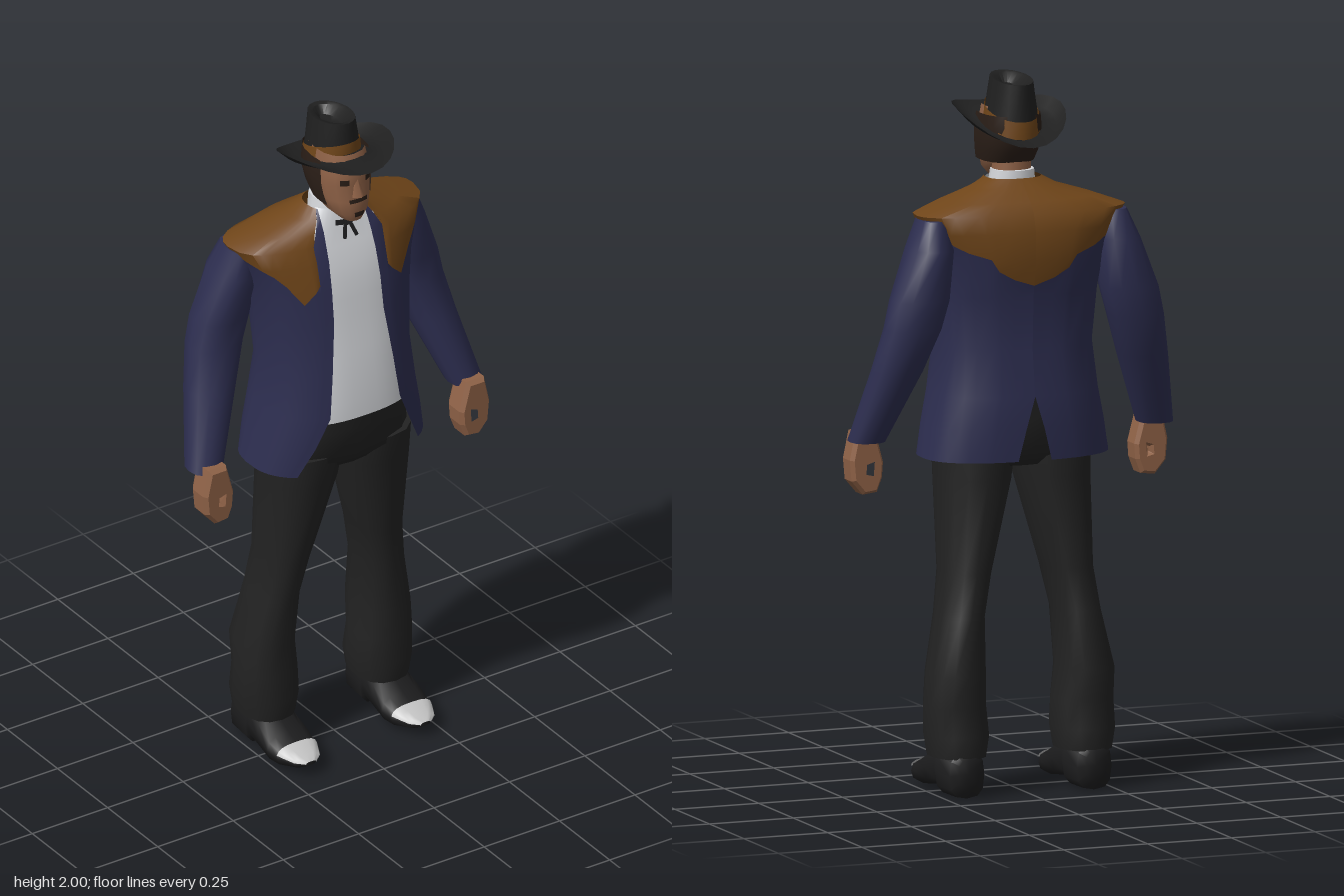
import * as THREE from 'three';
import { mergeVertices, toCreasedNormals } from 'three/addons/utils/BufferGeometryUtils.js';

const mat = (name, color, side = THREE.FrontSide) => {
  const m = new THREE.MeshStandardMaterial({ color, side });
  m.name = name;
  return m;
};
const lerp = (a, b, t) => a + (b - a) * t;
const spow = (v, p) => Math.sign(v) * Math.abs(v) ** p;

// Linear look-up in a table whose first column is the key
function sample(table, k) {
  const n = table.length - 1;
  if (k <= table[0][0]) return table[0];
  for (let i = 0; i < n; i++) {
    const p = table[i], q = table[i + 1];
    if (k <= q[0]) return p.map((v, j) => lerp(v, q[j], (k - p[0]) / (q[0] - p[0])));
  }
  return table[n];
}

// Grid surface: f(i, j) gives the point of column i, row j
function patch(nu, nv, f, crease = 0.9) {
  const pos = [], idx = [];
  for (let j = 0; j <= nv; j++) for (let i = 0; i <= nu; i++) pos.push(...f(i, j));
  for (let j = 0; j < nv; j++) for (let i = 0; i < nu; i++) {
    const a = j * (nu + 1) + i, b = a + 1, c = a + nu + 1, d = c + 1;
    idx.push(a, b, d, a, d, c);
  }
  const g = new THREE.BufferGeometry();
  g.setAttribute('position', new THREE.Float32BufferAttribute(pos, 3));
  g.setIndex(idx);
  return toCreasedNormals(mergeVertices(g, 1e-5), crease);
}

// Closed tube through rings of [y, cx, cz, rx, rz], listed upward, with flat ends
function loft(rings, s = 1, n = 12, p = 0.85) {
  const first = rings[0], last = rings[rings.length - 1];
  const all = [[...first.slice(0, 3), 0, 0], ...rings, [...last.slice(0, 3), 0, 0]];
  return patch(n, all.length - 1, (i, j) => {
    const [y, cx, cz, rx, rz] = all[j], a = ((i % n) / n) * Math.PI * 2;
    return [s * cx + rx * spow(Math.sin(a), p), y, cz + rz * spow(Math.cos(a), p)];
  });
}

// Torso sections: y, half width, front z, back z, centre z, half opening, half vent angle
const P = 0.8;
const TORSO = [
  [0.94, 0.27, 0.16, -0.185, -0.02, 0.2, 0.12],
  [1.03, 0.255, 0.168, -0.188, -0.02, 0.155, 0.06],
  [1.12, 0.237, 0.17, -0.185, -0.02, 0.115, 0],
  [1.25, 0.222, 0.155, -0.165, -0.02, 0.1, 0],
  [1.4, 0.235, 0.13, -0.172, -0.03, 0.082, 0],
  [1.5, 0.25, 0.115, -0.19, -0.04, 0.08, 0],
  [1.58, 0.28, 0.095, -0.19, -0.055, 0.077, 0],
  [1.63, 0.308, 0.075, -0.175, -0.07, 0.075, 0],
  [1.66, 0.225, 0.063, -0.15, -0.05, 0.073, 0],
  [1.69, 0.125, 0.052, -0.11, -0.03, 0.072, 0],
  [1.715, 0.078, 0.048, -0.08, -0.02, 0.068, 0],
];
function torsoAt(a, y, inset = 0) {
  const [, w, zf, zb, zc] = sample(TORSO, y);
  const c = spow(Math.cos(a), P);
  return [(w - inset) * spow(Math.sin(a), P), y, zc + c * ((c > 0 ? zf - zc : zc - zb) - inset)];
}
const openingAngle = (y) => {
  const r = sample(TORSO, y);
  return Math.asin(Math.min(1, (r[5] / r[1]) ** (1 / P)));
};

// Lower edge of the shoulder yoke, from front opening (0) to middle of the back (1)
const YOKE = [
  [0, 1.715], [0.04, 1.715], [0.045, 1.52], [0.07, 1.5], [0.13, 1.47], [0.2, 1.53], [0.25, 1.56], [0.3, 1.575],
  [0.38, 1.6], [0.47, 1.615], [0.53, 1.61], [0.6, 1.595], [0.68, 1.55], [0.75, 1.53], [0.85, 1.51],
  [0.88, 1.475], [0.94, 1.45], [1, 1.43],
];
function jacketSide(s, clampRow) {
  const n = YOKE.length - 1;
  return patch(n, TORSO.length - 1, (i, j) => {
    const [t, edge] = YOKE[s > 0 ? i : n - i];
    const y = clampRow(TORSO[j][0], edge);
    const a = lerp(openingAngle(y), Math.PI - sample(TORSO, y)[6], t);
    return torsoAt(s * a, y);
  }, 1.1);
}

// Head sections: y, half width, front z, back z
const HEAD = [
  [1.705, 0.03, 0.118, 0.03], [1.73, 0.055, 0.126, -0.02], [1.77, 0.069, 0.124, -0.06],
  [1.82, 0.075, 0.118, -0.08], [1.85, 0.076, 0.12, -0.085], [1.91, 0.07, 0.1, -0.08],
];
function headAt(a, y, off = 0) {
  const [, w, zf, zb] = sample(HEAD, y);
  return [(w + off) * spow(Math.sin(a), 0.85), y, (zf + zb) / 2 + ((zf - zb) / 2 + off) * spow(Math.cos(a), 0.85)];
}
const headPlate = (a0, a1, y0, y1, off, nu = 6, nv = 2) =>
  patch(nu, nv, (i, j) => headAt(lerp(a0, a1, i / nu), lerp(y0, y1, j / nv), off));

// Hat: crown rings tilt down to the back, brim curls up at the sides
function hatRing(a, rx, rz, y0, tilt) {
  const z = -0.012 + rz * Math.cos(a);
  return [rx * Math.sin(a), y0 + tilt * z, z];
}
const hatLoft = (rows, n = 20) => patch(n, rows.length - 1, (i, j) => hatRing(((i % n) / n) * Math.PI * 2, ...rows[j]), 0.7);
function brim(n = 24) {
  return patch(n, 3, (i, j) => {
    const a = ((i % n) / n) * Math.PI * 2, t = 1 - j / 3;
    const inner = hatRing(a, 0.074, 0.09, 1.866, 0.4);
    const c = Math.cos(a), s = Math.sin(a);
    const outer = [0.155 * s, 1.854 + 0.039 * c + 0.052 * s * s, 0.008 + 0.182 * c];
    return inner.map((v, k) => lerp(v, outer[k], t) - (k === 1 ? 0.018 * Math.sin(t * Math.PI) * s * s : 0));
  });
}

// Shoe sections: z, half width, bottom y, top y
const SHOE = [
  [-0.165, 0.03, 0.03, 0.11], [-0.15, 0.052, 0, 0.13], [-0.065, 0.06, 0, 0.135], [-0.055, 0.06, 0.022, 0.135],
  [0, 0.066, 0.016, 0.12], [0.06, 0.071, 0.008, 0.088], [0.1, 0.064, 0.01, 0.073], [0.15, 0.04, 0.024, 0.056], [0.17, 0.014, 0.035, 0.046],
];
function shoeAt(cx, a, row, off = 0) {
  const [z, hw, lo, hi] = row;
  return [cx + (hw + off) * spow(Math.cos(a), 0.7), (lo + hi) / 2 + ((hi - lo) / 2 + off) * spow(Math.sin(a), 0.7), z + off];
}

export function createModel() {
  const root = new THREE.Group();
  const navy = mat('navy cloth', 0x2d2e50, THREE.DoubleSide);
  const brown = mat('brown suede', 0x6f4519, THREE.DoubleSide);
  const white = mat('white shirt', 0xd6d8dc, THREE.DoubleSide);
  const black = mat('black trousers', 0x222222);
  const felt = mat('black felt', 0x1f1f1f, THREE.DoubleSide);
  const leather = mat('black leather', 0x1c1c1d);
  const skin = mat('skin', 0x8f6247);
  const hair = mat('dark hair', 0x2a1e17, THREE.DoubleSide);
  const silver = mat('silver toe', 0xc4c4c4, THREE.DoubleSide);
  const add = (name, geo, material, parent = root) => {
    const m = new THREE.Mesh(geo, material);
    m.name = name;
    parent.add(m);
    return m;
  };

  // Shirt front, shirt collar and string tie
  add('shirt', patch(10, 12, (i, j) => {
    const y = lerp(1.1, 1.715, j / 12), a = Math.min(1.5, openingAngle(y) + 0.15);
    return torsoAt(lerp(-a, a, i / 10), y, 0.006);
  }), white);
  add('shirtCollar', loft([[1.68, 0, -0.012, 0.066, 0.062], [1.735, 0, -0.016, 0.06, 0.056]]), white);
  const tie = new THREE.Group();
  tie.name = 'stringTie';
  tie.position.set(0, 1.675, 0.066);
  tie.rotation.x = -0.4;
  root.add(tie);
  add('tieKnot', new THREE.BoxGeometry(0.016, 0.018, 0.009), leather, tie);
  for (const s of [-1, 1]) {
    const loop = add('tieLoop', new THREE.BoxGeometry(0.03, 0.014, 0.006), leather, tie);
    loop.position.set(s * 0.02, 0.003, 0);
    loop.rotation.z = s * 0.2;
    const tail = add('tieTail', new THREE.BoxGeometry(0.009, 0.042, 0.006), leather, tie);
    tail.position.set(s * 0.014, -0.024, 0.002);
    tail.rotation.z = s * 0.3;
  }

  // Trouser seat
  add('trouserSeat', loft([
    [0.915, 0, -0.005, 0.13, 0.1], [0.95, 0, -0.005, 0.222, 0.128], [1.05, 0, 0, 0.21, 0.14], [1.14, 0, 0.002, 0.18, 0.145],
  ], 1, 16), black);

  for (const s of [-1, 1]) {
    // Jacket half with its yoke
    add('jacketBody', jacketSide(s, Math.min), navy);
    add('jacketYoke', jacketSide(s, Math.max), brown);

    // Sleeve
    add('sleeve', loft([
      [0.995, 0.43, -0.002, 0.05, 0.054], [1.2, 0.366, -0.07, 0.07, 0.068], [1.32, 0.332, -0.1, 0.08, 0.07],
      [1.4, 0.312, -0.102, 0.083, 0.073], [1.54, 0.278, -0.092, 0.062, 0.082], [1.62, 0.27, -0.08, 0.036, 0.06],
    ], s), navy);

    // Loosely closed hand with a gap inside the thumb
    const v2 = ([x, y]) => new THREE.Vector2(s * x, y);
    const outline = new THREE.Shape([
      [0.405, 1.01], [0.45, 1.01], [0.465, 0.94], [0.46, 0.885], [0.432, 0.852],
      [0.4, 0.856], [0.387, 0.89], [0.384, 0.93],
    ].map(v2));
    outline.holes.push(new THREE.Path([[0.405, 0.935], [0.428, 0.928], [0.43, 0.9], [0.408, 0.895]].map(v2)));
    const hand = add('hand', new THREE.ExtrudeGeometry(outline, {
      depth: 0.05, bevelEnabled: true, bevelThickness: 0.014, bevelSize: 0.009, bevelSegments: 1,
    }), skin);
    hand.position.z = 0.01;

    // Trouser leg
    add('trouserLeg', loft([
      [0.11, 0.188, -0.067, 0.077, 0.096], [0.17, 0.188, -0.066, 0.088, 0.1], [0.25, 0.19, -0.06, 0.085, 0.092],
      [0.34, 0.192, -0.07, 0.078, 0.103], [0.5, 0.173, -0.05, 0.063, 0.095], [0.62, 0.152, -0.035, 0.068, 0.097],
      [0.88, 0.118, -0.01, 0.105, 0.12], [0.97, 0.113, -0.005, 0.112, 0.125],
    ], s, 14), black);

    // Boot with a silver toe plate
    const cx = s * 0.19, n = 12;
    const rows = [SHOE[0], ...SHOE, SHOE[SHOE.length - 1]];
    add('boot', patch(n, rows.length - 1, (i, j) => {
      const r = rows[j], mid = (r[2] + r[3]) / 2;
      if (j === 0 || j === rows.length - 1) return [cx, mid, r[0]];
      return shoeAt(cx, ((i % n) / n) * Math.PI * 2, r);
    }), leather);
    add('toePlate', patch(8, 3, (i, j) =>
      shoeAt(cx, lerp(0.06, 0.94, i / 8) * Math.PI, sample(SHOE, [0.098, 0.12, 0.15, 0.17][j]), 0.003)), silver);

    // Eye
    const e = [s * 0.28, s * 0.62].sort((a, b) => a - b);
    add('eye', headPlate(e[0], e[1], 1.824, 1.842, 0.003, 3, 1), hair);
  }

  // Neck, head and nose
  add('neck', loft([[1.66, 0, -0.015, 0.054, 0.05], [1.8, 0, 0, 0.055, 0.055]]), skin);
  add('head', patch(16, HEAD.length, (i, j) => {
    const a = ((i % 16) / 16) * Math.PI * 2;
    return j === 0 ? [0, 1.705, 0.074] : headAt(a, HEAD[j - 1][0]);
  }), skin);
  const nose = add('nose', new THREE.CylinderGeometry(0.005, 0.019, 0.055, 4), skin);
  nose.position.set(0, 1.812, 0.117);
  nose.rotation.x = -0.15;

  // Hair, moustache and chin beard
  add('hair', headPlate(1.25, Math.PI * 2 - 1.25, 1.755, 1.89, 0.011, 12, 4), hair);
  add('moustache', headPlate(-0.34, 0.34, 1.768, 1.78, 0.004), hair);
  add('chinBeard', headPlate(-0.2, 0.2, 1.722, 1.738, 0.003), hair);

  // Hat with pinched crown, band and curled brim
  add('hatCrown', hatLoft([
    [0.074, 0.09, 1.866, 0.4], [0.069, 0.088, 1.91, 0.3], [0.055, 0.086, 1.988, 0.1],
    [0.042, 0.07, 1.985, 0.1], [0.02, 0.05, 1.962, 0.1], [0, 0, 1.958, 0],
  ]), felt);
  add('hatBand', hatLoft([[0.077, 0.093, 1.868, 0.4], [0.073, 0.091, 1.908, 0.32]]), brown);
  add('hatBrim', brim(), felt);

  return root;
}
